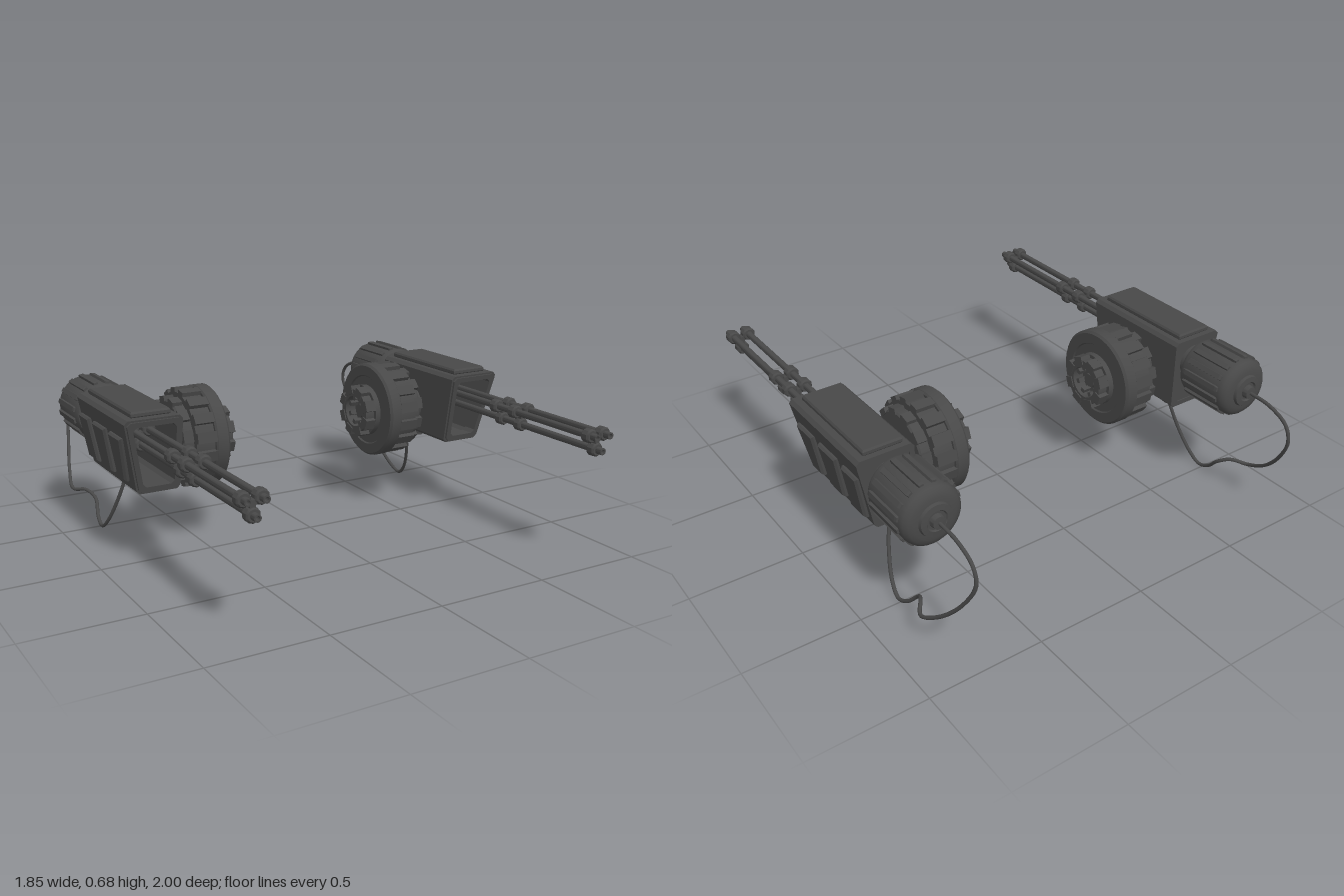
import * as THREE from 'three';
import { toCreasedNormals } from 'three/addons/utils/BufferGeometryUtils.js';

const metal = new THREE.MeshStandardMaterial({ color: 0x484848 });
const thin = new THREE.MeshStandardMaterial({ color: 0x484848, side: THREE.DoubleSide });
const CX = 0.785, CY = 0.545;            // barrel and motor axis
const WY = 0.47, WZ = -0.18;             // wheel axis
const wallX = (y) => 0.865 + (y - 0.335) * 0.18; // sloping outer wall of the housing

function add(parent, name, geometry, material = metal) {
  const mesh = new THREE.Mesh(geometry, material);
  mesh.name = name;
  parent.add(mesh);
  return mesh;
}

const outline = (pts, Type = THREE.Shape) => new Type(pts.map(([x, y]) => new THREE.Vector2(x, y)));

function lathe(pts, segments) {
  const g = new THREE.LatheGeometry(pts.map(([r, y]) => new THREE.Vector2(r, y)), segments);
  return toCreasedNormals(g, 0.6);
}

function moveVertices(g, rule) {
  const p = g.attributes.position, v = new THREE.Vector3();
  for (let i = 0; i < p.count; i++) {
    rule(v.fromBufferAttribute(p, i));
    p.setXYZ(i, v.x, v.y, v.z);
  }
  g.computeVertexNormals();
  return g;
}

// Trapezoid section of the housing, shrunk by d, with cut corners
function section(d, Type) {
  const c = 0.015, b = 0.335 + d, t = 0.66 - d, l = 0.672 + d;
  const rb = wallX(b) - d, rt = wallX(t) - d;
  return outline([[l + c, b], [rb - c, b], [rb, b + c], [rt, t - c], [rt - c, t],
    [l + c, t], [l, t - c], [l, b + c]], Type);
}

function buildHousing(gun) {
  const housing = new THREE.Group();
  housing.name = 'housing';
  gun.add(housing);
  const sleeve = (outer, inner, back, front) => {
    const s = section(outer);
    s.holes.push(section(inner, THREE.Path));
    const g = new THREE.ExtrudeGeometry(s, { depth: front - back, bevelEnabled: false });
    g.translate(0, 0, back);
    // the mouth leans back towards the bottom
    return moveVertices(g, (v) => { if (v.z > 0) v.z -= (0.66 - v.y) * 0.17; });
  };
  add(housing, 'housingShell', sleeve(0, 0.022, -0.41, 0.145));
  add(housing, 'mouthRim', sleeve(0.008, 0.03, 0.09, 0.155));
  const back = new THREE.ShapeGeometry(section(0.01));
  add(housing, 'rearWall', back.rotateY(Math.PI).translate(2 * CX, 0, -0.405)
    .scale(-1, 1, 1).translate(2 * CX, 0, 0));
  // Flip the winding so the rear wall faces backwards after mirroring
  back.index.array.reverse();

  // Lid with a raised border
  const lidShape = outline([[0.715, -0.1], [0.875, -0.1], [0.875, 0.38], [0.715, 0.38]]);
  const lid = new THREE.ExtrudeGeometry(lidShape, { depth: 0.012, bevelThickness: 0.008, bevelSize: 0.006, bevelSegments: 1 });
  add(housing, 'lid', lid.rotateX(-Math.PI / 2).translate(0, 0.664, 0));

  // Three outer panels lying on the sloping wall: [z front top, z front bottom, z rear bottom, z rear top]
  for (const [a, b, c, d] of [[0.08, 0.035, -0.035, -0.035], [-0.1, -0.115, -0.215, -0.225], [-0.29, -0.285, -0.38, -0.39]]) {
    const s = outline([[-a, 0.57], [-b, 0.39], [-c, 0.39], [-d, 0.57]]);
    const g = new THREE.ExtrudeGeometry(s, { depth: 0.01, bevelThickness: 0.01, bevelSize: 0.008, bevelSegments: 1 });
    g.rotateY(Math.PI / 2);
    add(housing, 'sidePanel', moveVertices(g, (v) => { v.x += wallX(v.y); }));
  }

  // Cable sockets underneath
  for (const [z, r] of [[-0.21, 0.045], [-0.315, 0.036]]) {
    add(housing, 'socket', new THREE.CylinderGeometry(r, r * 0.85, 0.03, 8)).position.set(0.745, 0.325, z);
    add(housing, 'socketPin', new THREE.CylinderGeometry(r * 0.5, r * 0.5, 0.02, 8)).position.set(0.745, 0.308, z);
  }
}

function buildBarrels(gun) {
  const barrels = new THREE.Group();
  barrels.name = 'barrels';
  barrels.position.set(CX, CY, 0);
  gun.add(barrels);
  const tube = lathe([[0, -0.4], [0.015, -0.4], [0.015, 1], [0.009, 1], [0.009, 0.95], [0, 0.95]], 12).rotateX(Math.PI / 2);
  const collar = lathe([[0.014, -0.021], [0.024, -0.021], [0.03, -0.014], [0.03, 0.014], [0.024, 0.021], [0.014, 0.021]], 10).rotateX(Math.PI / 2);
  const arm = new THREE.BoxGeometry(0.04, 0.022, 0.03).translate(0.015, 0, 0);
  for (let i = 0; i < 3; i++) {
    const a = Math.PI / 6 + i * Math.PI * 2 / 3;
    const x = Math.cos(a) * 0.041, y = Math.sin(a) * 0.041;
    add(barrels, 'barrel', tube).position.set(x, y, 0);
    for (const z of [0.95, 0.495, 0.37, -0.05]) {
      add(barrels, 'clampCollar', collar).position.set(x, y, z);
      const m = add(barrels, 'clampArm', arm);
      m.position.z = z;
      m.rotation.z = a;
    }
  }
}

function buildMotor(gun) {
  const motor = new THREE.Group();
  motor.name = 'motor';
  motor.position.set(CX, CY, 0);
  gun.add(motor);
  // Profile runs from the neck inside the housing to the rear knob
  add(motor, 'motorBody', lathe([[0, 0.34], [0.075, 0.34], [0.075, 0.448], [0.105, 0.45], [0.122, 0.458], [0.13, 0.475],
    [0.13, 0.69], [0.125, 0.708], [0.11, 0.722], [0.09, 0.728], [0.072, 0.73], [0.068, 0.742], [0.045, 0.745],
    [0.04, 0.738], [0.03, 0.738], [0.027, 0.76], [0, 0.762]], 32).rotateX(-Math.PI / 2));
  const rib = new THREE.ExtrudeGeometry(outline([[0.12, -0.011], [0.138, -0.009], [0.138, 0.009], [0.12, 0.011]]),
    { depth: 0.18, bevelThickness: 0.012, bevelSize: 0.002, bevelSegments: 1 }).translate(0, 0, -0.675);
  for (let i = 0; i < 16; i++) add(motor, 'coolingRib', rib).rotation.z = (i + 0.5) * Math.PI / 8;
}

function buildWheel(gun) {
  const wheel = new THREE.Group();
  wheel.name = 'mountWheel';
  wheel.position.set(0, WY, WZ);
  gun.add(wheel);
  // Radius and x position, from the housing towards the hub
  const profile = [[0.09, 0.68], [0.09, 0.608], [0.165, 0.608], [0.172, 0.6], [0.172, 0.56], [0.2, 0.56], [0.2, 0.475],
    [0.212, 0.475], [0.22, 0.468], [0.22, 0.42], [0.21, 0.41], [0.165, 0.41], [0.16, 0.416], [0.12, 0.416], [0.12, 0.39],
    [0.104, 0.39], [0.104, 0.345], [0.072, 0.345], [0.072, 0.4], [0.035, 0.4], [0.03, 0.375], [0, 0.375]];
  add(wheel, 'wheelBody', lathe(profile.map(([r, x]) => [r, -x]), 40).rotateZ(Math.PI / 2));
  const ring = (name, count, x0, x1, r0, r1, width) => {
    const g = new THREE.BoxGeometry(x1 - x0, r1 - r0, width).translate((x0 + x1) / 2, (r0 + r1) / 2, 0);
    for (let i = 0; i < count; i++) add(wheel, name, g).rotation.x = (i + 0.5) * Math.PI * 2 / count;
  };
  ring('rimTooth', 16, 0.47, 0.56, 0.19, 0.217, 0.045);
  ring('innerTooth', 12, 0.565, 0.61, 0.16, 0.186, 0.05);
  ring('hubLug', 8, 0.34, 0.392, 0.082, 0.119, 0.05);
  ring('hubKey', 8, 0.36, 0.41, 0.052, 0.08, 0.02);
}

// Loose cable from the motor knob down to the rear socket
function buildCable(gun) {
  const path = [[0.785, 0.545, -0.75], [0.785, 0.535, -0.87], [0.785, 0.49, -0.965], [0.787, 0.42, -0.99],
    [0.81, 0.3, -0.935], [0.845, 0.19, -0.835], [0.865, 0.13, -0.73], [0.825, 0.136, -0.665], [0.8, 0.105, -0.61],
    [0.815, 0.04, -0.545], [0.82, 0.014, -0.48], [0.81, 0.06, -0.42], [0.78, 0.18, -0.355], [0.745, 0.31, -0.318]];
  const curve = new THREE.CatmullRomCurve3(path.map((p) => new THREE.Vector3(...p)));
  add(gun, 'cable', new THREE.TubeGeometry(curve, 90, 0.008, 8), thin);
}

export function createModel() {
  const model = new THREE.Group();
  model.name = 'twinGuns';
  const left = new THREE.Group();
  left.name = 'leftGun';
  for (const build of [buildHousing, buildBarrels, buildMotor, buildWheel, buildCable]) build(left);
  const right = left.clone();
  right.name = 'rightGun';
  right.scale.x = -1;
  model.add(left, right);
  return model;
}
